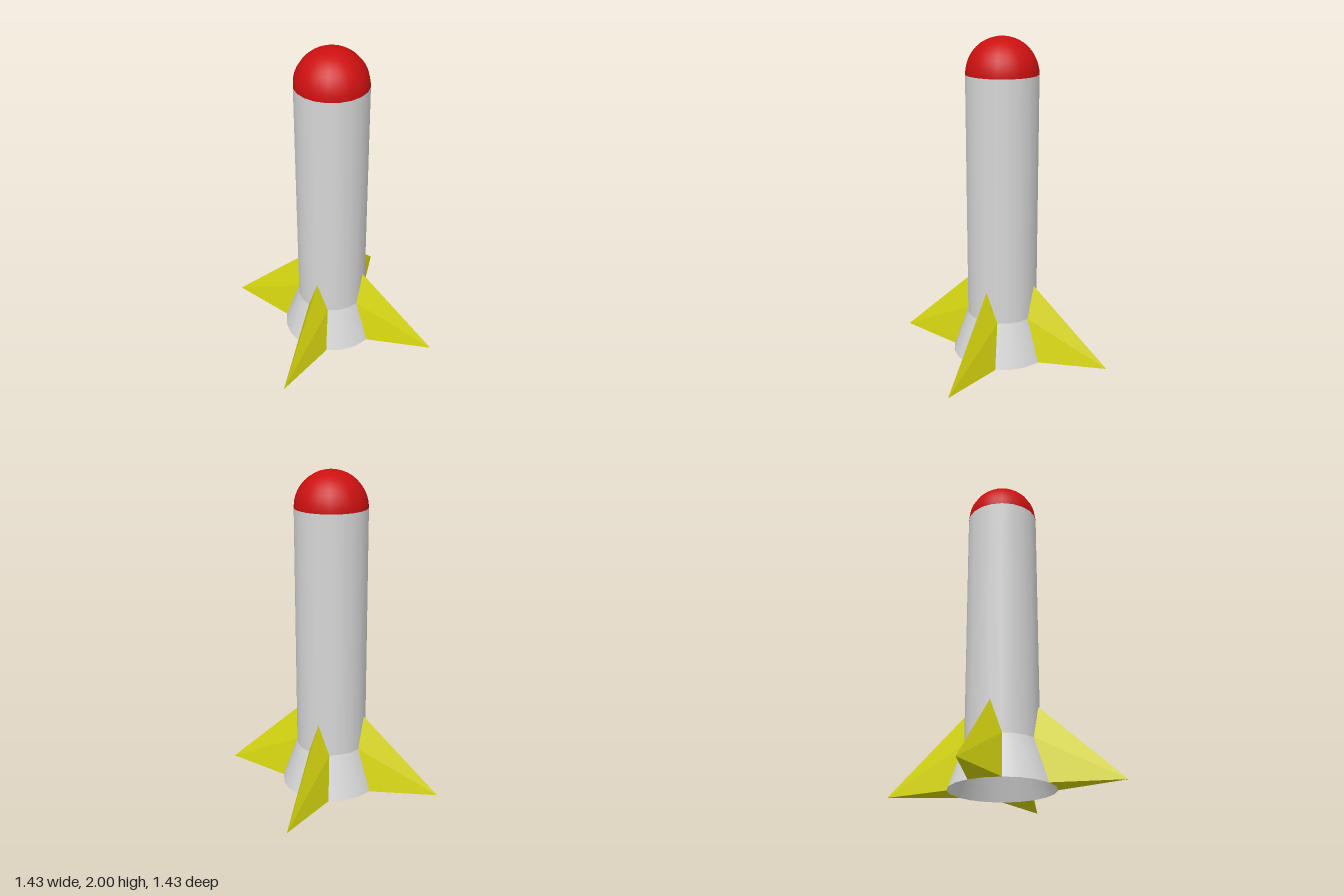
import * as THREE from 'three';

const SIDES = 20;
const BODY_R = 0.22, SKIRT_R = 0.314;
const SKIRT_TOP = 0.27, BODY_TOP = 1.78;

// Four-sided fin pointing along +x, sitting on two neighbouring panels of the body
function finGeometry() {
  const a = (Math.PI * 2) / SIDES;
  const tip = [0.715, 0.008, 0];
  const apex = [BODY_R, 0.47, 0];
  const heel = [SKIRT_R, 0, 0];
  const waist = [BODY_R * Math.cos(a), SKIRT_TOP, BODY_R * Math.sin(a)];
  const foot = [SKIRT_R * Math.cos(a), 0, SKIRT_R * Math.sin(a)];
  const half = [[apex, waist, tip], [waist, foot, tip], [foot, heel, tip]];
  const flip = ([x, y, z]) => [x, y, -z];
  const mirrored = half.map(([p, q, r]) => [flip(p), flip(r), flip(q)]);
  const geometry = new THREE.BufferGeometry();
  geometry.setAttribute('position',
    new THREE.Float32BufferAttribute([...half, ...mirrored].flat(2), 3));
  geometry.computeVertexNormals();
  return geometry;
}

export function createModel() {
  const rocket = new THREE.Group();
  rocket.name = 'rocket';

  const grey = new THREE.MeshStandardMaterial({ color: 0xd6d6d6, side: THREE.DoubleSide });
  grey.name = 'hull grey';
  const red = new THREE.MeshStandardMaterial({ color: 0xcc1010 });
  red.name = 'nose red';
  const yellow = new THREE.MeshStandardMaterial({ color: 0xd4d410 });
  yellow.name = 'fin yellow';

  const add = (name, geometry, material) => {
    const mesh = new THREE.Mesh(geometry, material);
    mesh.name = name;
    rocket.add(mesh);
    return mesh;
  };
  const tube = (...points) =>
    new THREE.LatheGeometry(points.map(([r, y]) => new THREE.Vector2(r, y)), SIDES);

  // Hollow hull and flared skirt, open at the bottom
  add('body', tube([BODY_R, SKIRT_TOP], [BODY_R, BODY_TOP]), grey);
  add('skirt', tube([SKIRT_R, 0], [BODY_R, SKIRT_TOP]), grey);

  // Rounded nose
  const dome = new THREE.SphereGeometry(BODY_R, SIDES, 10, 0, Math.PI * 2, 0, Math.PI / 2);
  add('nose', dome, red).position.y = BODY_TOP;

  // Four fins around the base
  const fin = finGeometry();
  ['leftFin', 'backFin', 'rightFin', 'frontFin'].forEach((name, i) => {
    add(name, fin, yellow).rotation.y = (i * Math.PI) / 2;
  });

  return rocket;
}
